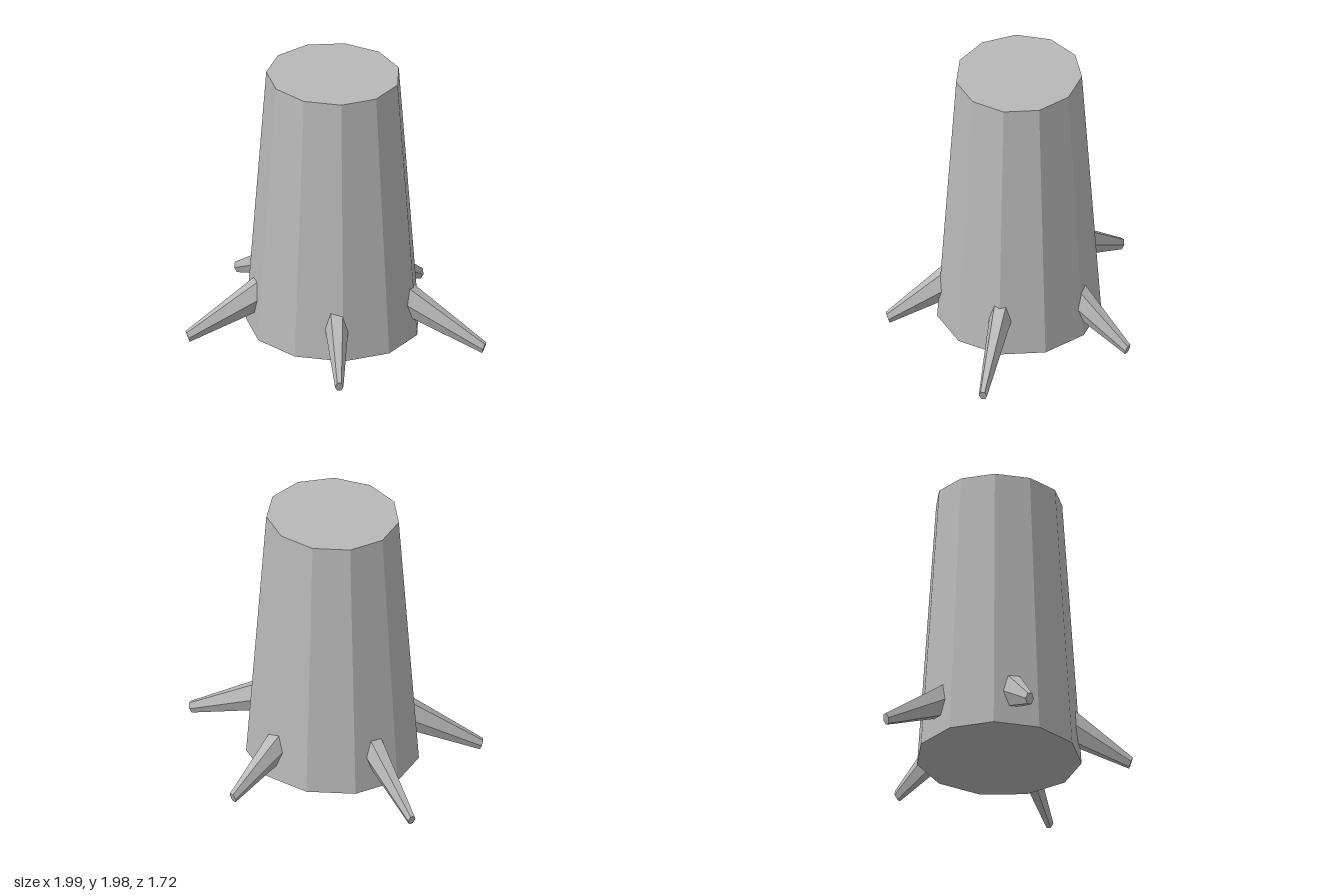
import * as THREE from 'three';

export function createModel() {
  const model = new THREE.Group();
  const grey = new THREE.MeshStandardMaterial({ color: 0xb8b8b8, flatShading: true });
  grey.name = 'plain grey';

  // Tapered eleven-sided trunk, slightly narrower front to back, one corner facing +x
  const trunkGeometry = new THREE.CylinderGeometry(0.464, 0.605, 1.935, 11, 1, false, Math.PI / 2);
  trunkGeometry.scale(1, 1, 0.934);
  const trunk = new THREE.Mesh(trunkGeometry, grey);
  trunk.name = 'trunk';
  trunk.position.set(-0.102, 0.05 + 1.935 / 2, 0);
  model.add(trunk);

  // Six-sided root with a flat top, running from the trunk surface down to its tip
  function addRoot(name, surface, tip) {
    const end = new THREE.Vector3(...tip);
    // start a little inside the trunk
    const start = new THREE.Vector3(...surface).lerp(end, -0.2);
    const axis = end.clone().sub(start);
    const out = new THREE.Vector3(axis.x, 0, axis.z).normalize();
    const side = new THREE.Vector3(-out.z, 0, out.x);
    const up = out.clone().multiplyScalar(0.3).setY(0.95).multiplyScalar(1.5);
    const geometry = new THREE.CylinderGeometry(0.029, 0.085, 1, 6, 1, false, Math.PI / 6);
    geometry.translate(0, 0.5, 0);
    geometry.applyMatrix4(new THREE.Matrix4().makeBasis(side, axis, up).setPosition(start));
    const root = new THREE.Mesh(geometry, grey);
    root.name = name;
    model.add(root);
  }

  addRoot('leftRoot', [0.48, 0.3, 0], [0.988, 0.04, 0]);
  for (const s of [1, -1]) {
    const end = s > 0 ? 'front' : 'back';
    addRoot(end + 'Root', [0.1, 0.265, 0.51 * s], [0.232, 0.04, 0.842 * s]);
    addRoot(end + 'RightRoot', [-0.6, 0.29, 0.285 * s], [-0.978, 0.04, 0.518 * s]);
  }
  return model;
}
